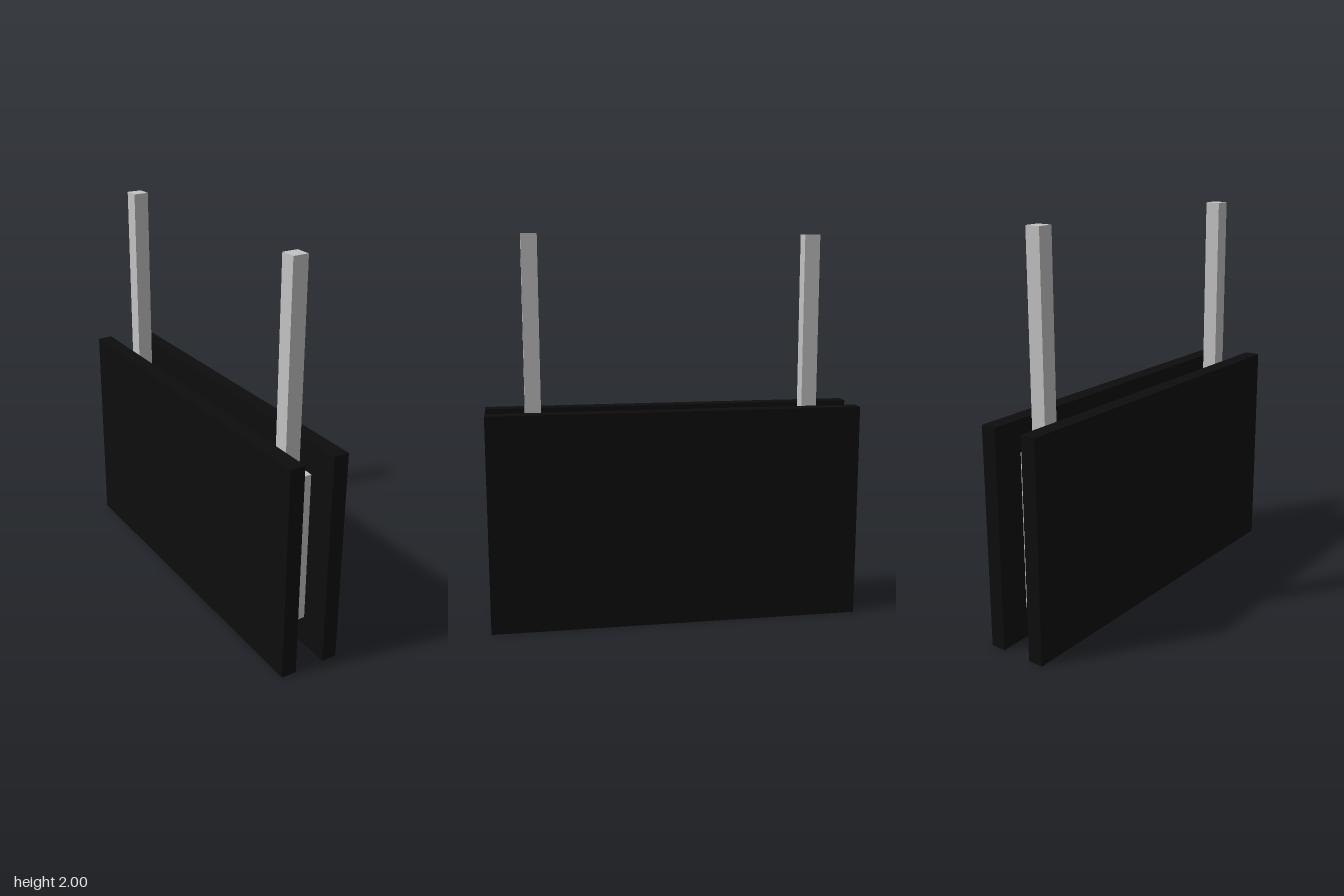
import * as THREE from 'three';

export function createModel() {
  const group = new THREE.Group();
  const black = new THREE.MeshStandardMaterial({ color: 0x0d0d0d });
  black.name = 'black';
  const grey = new THREE.MeshStandardMaterial({ color: 0xc3c3c3 });
  grey.name = 'light grey';

  // Box standing on the given base height
  const addBox = (name, material, [w, h, d], [x, base, z]) => {
    const mesh = new THREE.Mesh(new THREE.BoxGeometry(w, h, d), material);
    mesh.name = name;
    mesh.position.set(x, base + h / 2, z);
    group.add(mesh);
  };

  // Inner core between the two panels
  addBox('core', grey, [0.16, 0.8, 1.6], [0, 0.16, 0]);

  // Side panels
  addBox('leftPanel', black, [0.08, 1.12, 1.92], [0.12, 0, 0]);
  addBox('rightPanel', black, [0.08, 1.12, 1.92], [-0.12, 0, 0]);

  // Upright posts rising from the core
  addBox('frontPost', grey, [0.08, 1.04, 0.08], [0, 0.96, 0.72]);
  addBox('backPost', grey, [0.08, 1.04, 0.08], [0, 0.96, -0.72]);

  return group;
}
